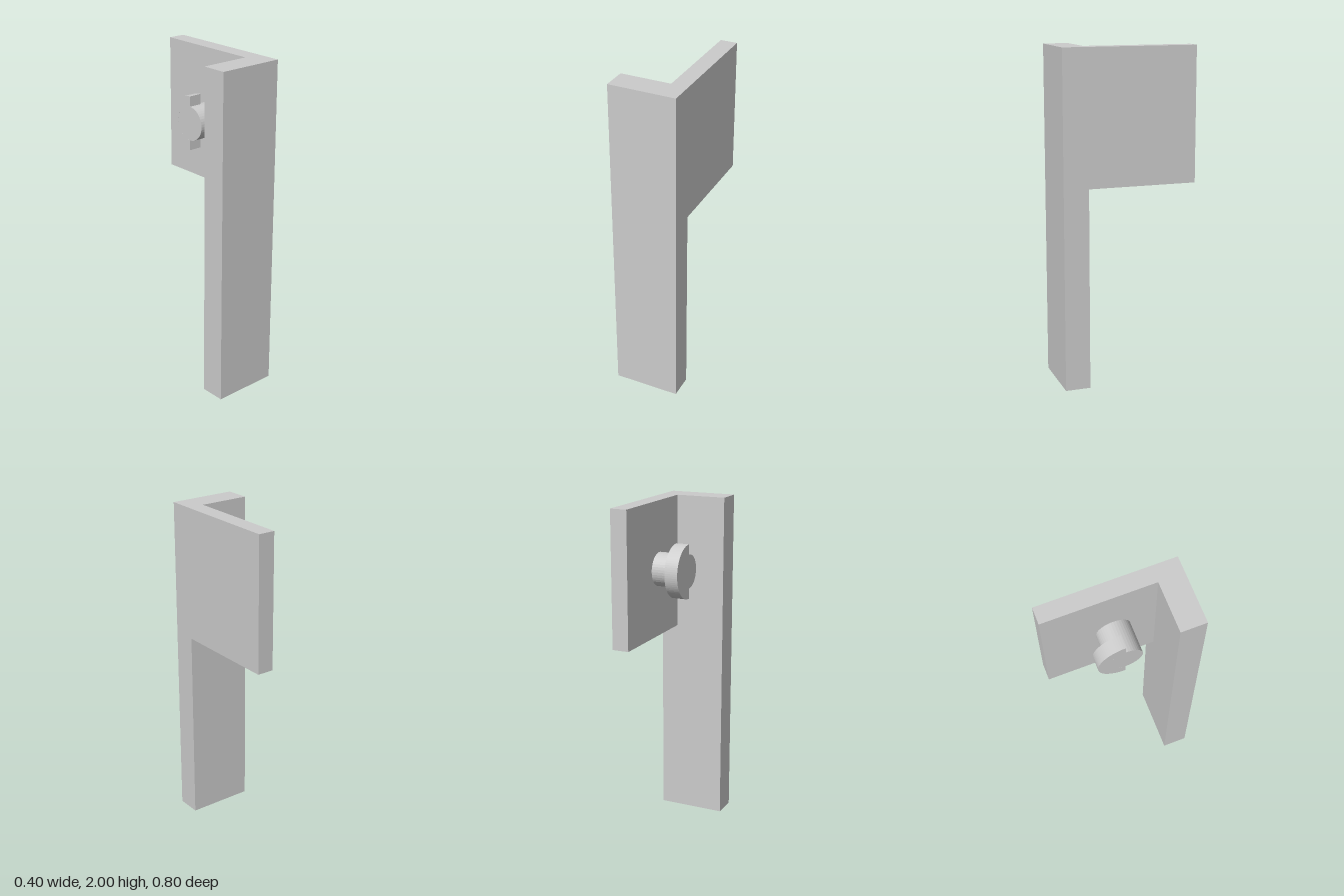
import * as THREE from 'three';

export function createModel() {
  const model = new THREE.Group();
  model.name = 'bracketWithPeg';

  const grey = new THREE.MeshStandardMaterial({ color: 0xcccccc, flatShading: true });
  grey.name = 'plain grey';

  const add = (name, geometry) => {
    const mesh = new THREE.Mesh(geometry, grey);
    mesh.name = name;
    model.add(mesh);
  };
  // box given by its lower and upper corners
  const block = (name, a, b) => add(name,
    new THREE.BoxGeometry(b[0] - a[0], b[1] - a[1], b[2] - a[2])
      .translate((a[0] + b[0]) / 2, (a[1] + b[1]) / 2, (a[2] + b[2]) / 2));

  // tall front post and the side plate behind it
  block('frontPost', [-0.2, 0, 0.25], [0.2, 2, 0.4]);
  block('sidePlate', [0.1, 1.2, -0.4], [0.2, 2, 0.25]);

  // peg standing out from the inner face of the plate
  const pegY = 1.6, pegRadius = 0.1, pegEnd = -0.09;
  const pegLength = 0.1 - pegEnd;
  add('peg', new THREE.CylinderGeometry(pegRadius, pegRadius, pegLength, 40)
    .rotateZ(Math.PI / 2)
    .translate(pegEnd + pegLength / 2, pegY, 0));

  // half-round collar on the rear half of the peg's free end
  const half = new THREE.Shape();
  half.absarc(0, 0, 0.16, -Math.PI / 2, Math.PI / 2, false);
  half.absarc(0, 0, pegRadius, Math.PI / 2, -Math.PI / 2, true);
  add('halfCollar', new THREE.ExtrudeGeometry(half, { depth: 0.08, bevelEnabled: false, curveSegments: 20 })
    .rotateY(Math.PI / 2)
    .translate(pegEnd, pegY, 0));

  return model;
}
